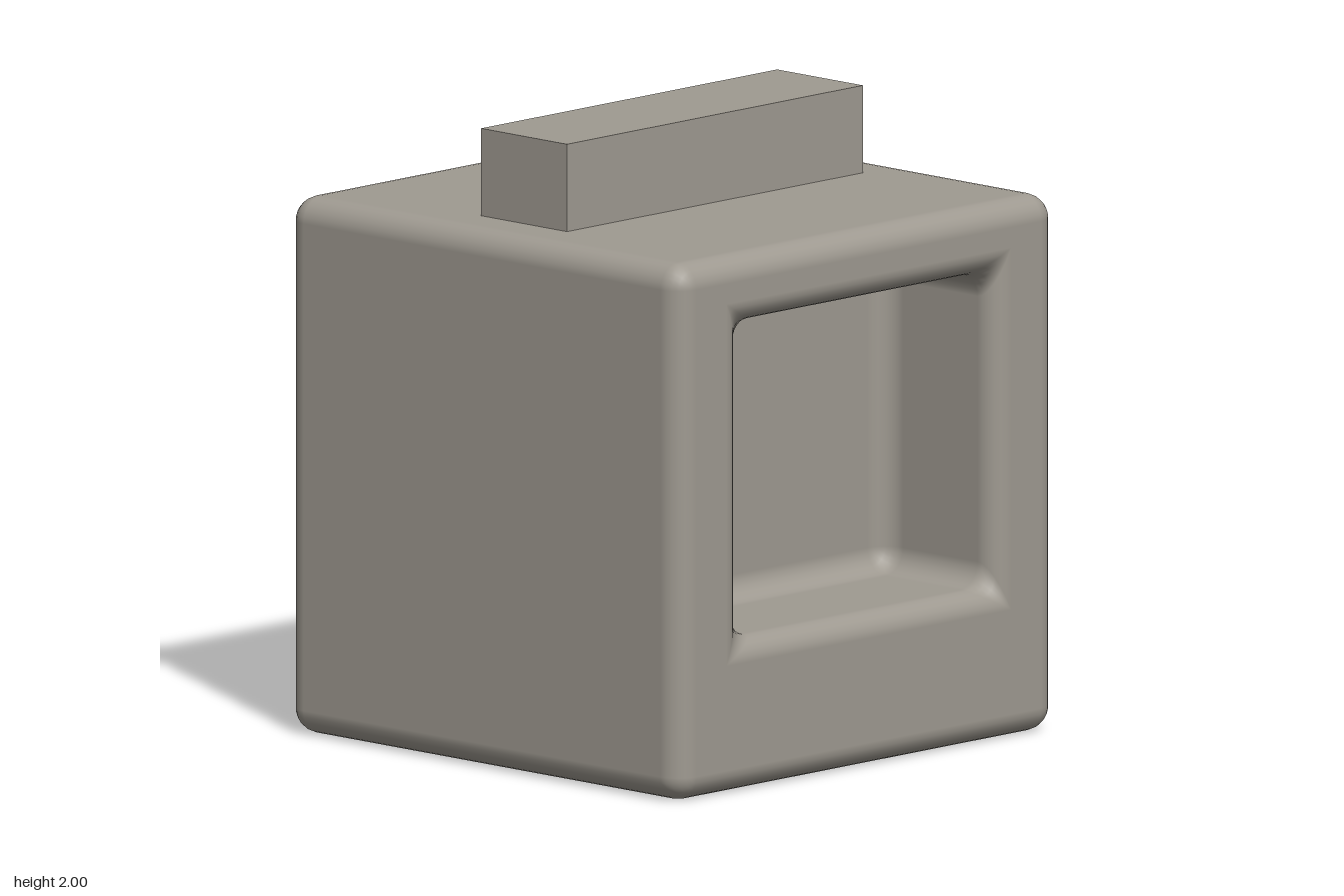
import * as THREE from 'three';

const HALF = 0.86, ROUND = 0.08;                 // outer cube
const CAVE = { hx: 0.57, hy: 0.505, y: 0.995, back: 0.38, round: 0.08, lip: 0.075 };
const STEPS = 6;

// One rounded-rectangle ring: points (x, y) with their outward direction.
function ringPoints(hx, hy, cy, r) {
  const points = [];
  for (let corner = 0; corner < 4; corner++) {
    const sx = corner === 0 || corner === 3 ? 1 : -1;
    const sy = corner < 2 ? 1 : -1;
    for (let k = 0; k <= STEPS; k++) {
      const t = (corner + k / STEPS) * Math.PI / 2;
      const c = Math.cos(t), s = Math.sin(t);
      points.push([sx * (hx - r) + r * c, cy + sy * (hy - r) + r * s, c, s]);
    }
  }
  return points;
}

// Skin a list of rings running from the back, round the outside and into the cavity.
function loft(rings) {
  const position = [], normal = [], index = [];
  const n = 4 * (STEPS + 1);
  rings.forEach(({ hx, hy, cy, r, z, nr, nz }, i) => {
    for (const [x, y, c, s] of ringPoints(hx, hy, cy, r)) {
      position.push(x, y, z);
      normal.push(c * nr, s * nr, nz);
    }
    if (i === 0) return;
    for (let j = 0; j < n; j++) {
      const k = (j + 1) % n;
      const a = (i - 1) * n + j, b = (i - 1) * n + k, d = i * n + j, e = i * n + k;
      index.push(a, b, e, a, e, d);
    }
  });
  const geometry = new THREE.BufferGeometry();
  geometry.setAttribute('position', new THREE.Float32BufferAttribute(position, 3));
  geometry.setAttribute('normal', new THREE.Float32BufferAttribute(normal, 3));
  geometry.setIndex(index);
  return geometry;
}

function bodyRings() {
  const rings = [];
  const sweep = (fn) => {
    for (let k = 0; k <= STEPS; k++) {
      const a = k / STEPS * Math.PI / 2;
      rings.push(fn(Math.sin(a), Math.cos(a)));
    }
  };
  const outer = (inset, r, z, nr, nz) =>
    ({ hx: HALF - inset, hy: HALF - inset, cy: HALF, r, z, nr, nz });
  const inner = (grow, r, z, nr, nz) =>
    ({ hx: CAVE.hx + grow, hy: CAVE.hy + grow, cy: CAVE.y, r, z, nr, nz });

  // back face and its rounded rim
  rings.push(outer(HALF, 0, -HALF, 0, -1));
  sweep((s, c) => outer(ROUND * (1 - s), ROUND * s, -HALF + ROUND * (1 - c), s, -c));
  // front rounded rim
  sweep((s, c) => outer(ROUND * (1 - c), ROUND * c, HALF - ROUND * (1 - s), c, s));
  // rounded lip, mitred outside and rounded inside
  sweep((s, c) => inner(CAVE.lip * (1 - s), CAVE.round * s, HALF - CAVE.lip * (1 - c), -s, c));
  // cavity walls meeting the back wall in a fillet
  sweep((s, c) => inner(-CAVE.round * (1 - c), CAVE.round * c, CAVE.back + CAVE.round * (1 - s), -c, s));
  rings.push({ hx: 0, hy: 0, cy: CAVE.y, r: 0, z: CAVE.back, nr: 0, nz: 1 });
  return rings;
}

export function createModel() {
  const warmGrey = new THREE.MeshStandardMaterial({ color: 0x9f9a91 });
  warmGrey.name = 'warmGrey';
  const model = new THREE.Group();
  model.name = 'hollowBox';

  // rounded cube with a recessed front
  const body = new THREE.Mesh(loft(bodyRings()), warmGrey);
  body.name = 'body';

  // plain block on top
  const block = new THREE.Mesh(new THREE.BoxGeometry(1.34, 0.3, 0.375), warmGrey);
  block.name = 'topBlock';
  block.position.y = 1.85;

  model.add(body, block);
  return model;
}
